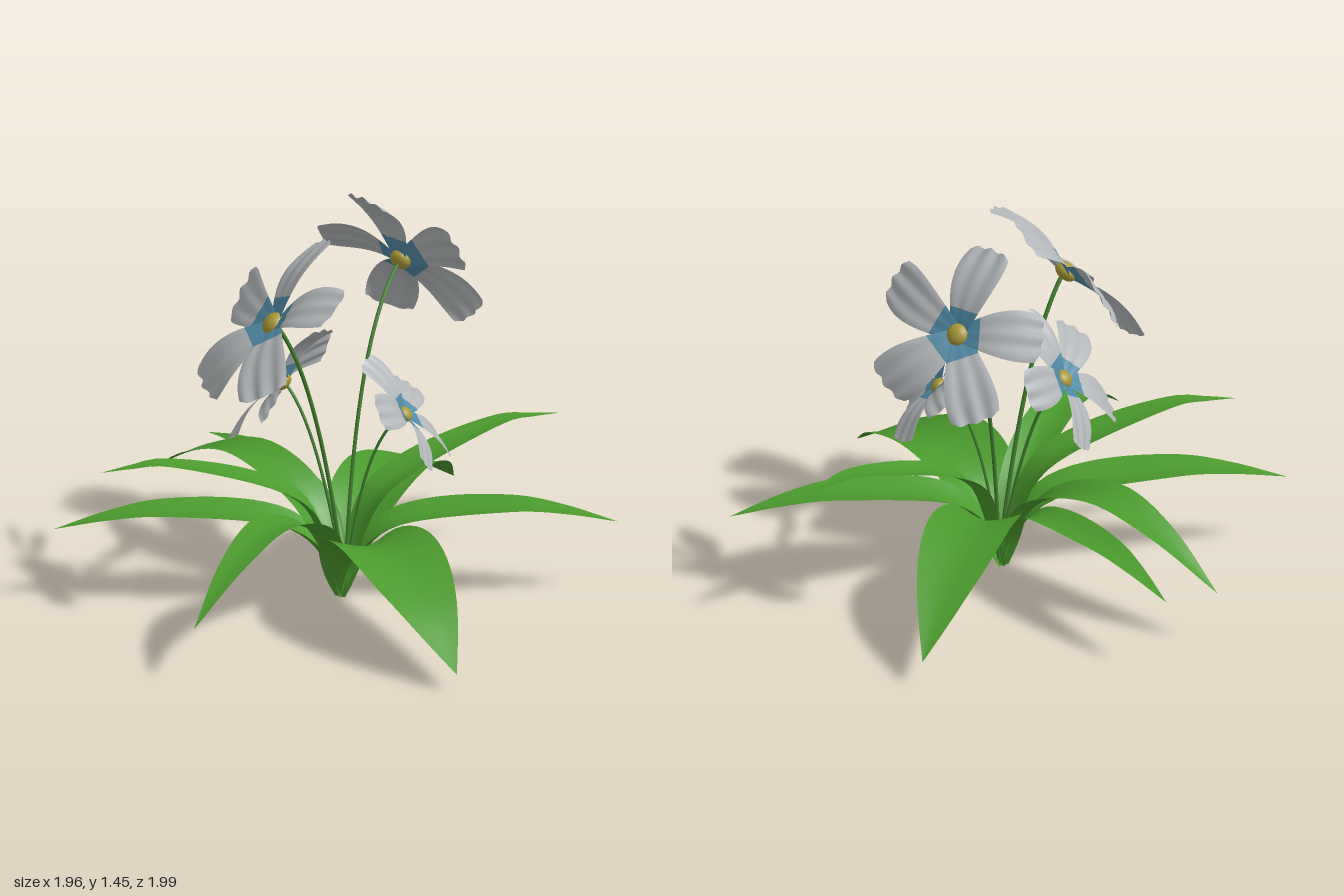
import * as THREE from 'three';

const mat = (name, color, side = THREE.DoubleSide) => {
  const m = new THREE.MeshStandardMaterial({ color, side });
  m.name = name;
  return m;
};

const V = (a) => new THREE.Vector3(...a);

// Smooth sheet from a rule: u runs along the part, v across it from -1 to 1.
function sheet(nu, nv, u0, u1, rule) {
  const pos = [], idx = [];
  for (let i = 0; i <= nu; i++) {
    for (let j = 0; j <= nv; j++) {
      const p = rule(u0 + ((u1 - u0) * i) / nu, (2 * j) / nv - 1);
      pos.push(p.x, p.y, p.z);
      if (i < nu && j < nv) {
        const a = i * (nv + 1) + j, b = a + nv + 1;
        idx.push(a, a + 1, b, b, a + 1, b + 1);
      }
    }
  }
  const g = new THREE.BufferGeometry();
  g.setAttribute('position', new THREE.Float32BufferAttribute(pos, 3));
  g.setIndex(idx);
  g.computeVertexNormals();
  return g;
}

const ROOT = [0.02, 0.0, 0.02];

// Arching strap leaf with a folded cross-section.
function leafGeometry([tx, ty, tz, peak, at, width]) {
  const dx = tx - ROOT[0], dz = tz - ROOT[2];
  const len = Math.hypot(dx, dz);
  const dir = new THREE.Vector3(dx / len, 0, dz / len);
  const side = new THREE.Vector3(dir.z, 0, -dir.x);
  const at3 = (r, y) => V(ROOT).addScaledVector(dir, r * len).setY(y);
  const spine = new THREE.CatmullRomCurve3([
    at3(0, 0), at3(0.055, 0.14), at3(0.18, 0.2 + (peak - 0.2) * 0.5),
    at3(at, peak), at3((at + 1) / 2, peak - 0.3 * (peak - ty)), at3(1, ty),
  ]);
  return sheet(28, 6, 0, 1, (u, v) => {
    const p = spine.getPointAt(u), t = spine.getTangentAt(u);
    const up = new THREE.Vector3().crossVectors(t, side).normalize();
    const swell = Math.max(0, Math.sin(Math.PI * Math.pow(u, 0.9)));
    const half = width * 0.5 * (0.12 * (1 - u) + swell);
    const fold = half * (0.1 + 0.45 * (1 - u) ** 2) * Math.pow(Math.abs(v), 1.4);
    return p.addScaledVector(side, half * v).addScaledVector(up, fold);
  });
}

// Softly ruffled petal lying along +x, widening to a wavy blunt tip.
const petalRule = (R) => (u, v) => {
  const half = R * (0.08 + 0.215 * Math.sin((Math.PI / 2) * Math.min(1, u * 1.15)) - 0.03 * u ** 8);
  const r = R * u * (1 - u * u * (0.05 * v * v - 0.015 * Math.cos(3 * Math.PI * v)));
  const lift = 0.1 * Math.sin(Math.PI * u) + 0.01 * u
    + 0.013 * u * Math.cos(2.5 * Math.PI * v) + 0.05 * v * (0.3 + u);
  return new THREE.Vector3(r, R * lift, half * v + R * 0.07 * u * u);
};

export function createModel() {
  const leafGreen = mat('leaf green', 0x4b9a2d);
  const stemGreen = mat('stem green', 0x42802f, THREE.FrontSide);
  const petalWhite = mat('petal white', 0xb3b7b9);
  const petalBlue = mat('petal blue', 0x508aa5);
  const coreYellow = mat('core yellow', 0xa99838, THREE.FrontSide);

  const plant = new THREE.Group();
  plant.name = 'floweringPlant';
  const add = (parent, geo, material, name) => {
    const m = new THREE.Mesh(geo, material);
    m.name = name;
    parent.add(m);
    return m;
  };

  // Leaves: tip x, y, z, peak height, peak position along the reach, width
  const leaves = [
    [0.15, 0.1, -1.0, 0.34, 0.42, 0.29],
    [0.98, 0.28, -0.3, 0.345, 0.62, 0.2],
    [0.66, 0.55, -0.62, 0.57, 0.74, 0.15],
    [0.69, 0.07, 0.81, 0.32, 0.4, 0.34],
    [-0.26, 0.21, 0.99, 0.43, 0.48, 0.16],
    [-0.78, 0.55, 0.42, 0.57, 0.74, 0.15],
    [-0.98, 0.28, 0.35, 0.345, 0.62, 0.21],
    [-0.86, 0.21, -0.49, 0.43, 0.48, 0.19],
    [-0.71, 0.28, -0.73, 0.345, 0.62, 0.15],
  ];
  leaves.forEach((l, i) => add(plant, leafGeometry(l), leafGreen, `leaf${i + 1}`));

  // Flowers: centre, facing, direction of the first petal, radius, stem bend
  const flowers = [
    { c: [0.11, 1.16, -0.43], n: [0.24, 0.51, -0.83], p: [-0.08, 0.29, 0.16], R: 0.335, bend: [0.05, 0.98, -0.04] },
    { c: [-0.18, 1.12, 0.21], n: [-0.6, 0.66, 0.42], p: [0.18, 0.23, -0.32], R: 0.365, bend: [-0.05, 0.85, 0.06] },
    { c: [-0.21, 0.8, -0.02], n: [-0.8, 0.57, -0.15], p: [0.15, 0.22, 0], R: 0.28, bend: [-0.07, 0.64, 0] },
    { c: [0.25, 0.73, -0.01], n: [0.77, 0.62, -0.12], p: [-0.15, 0.2, 0], R: 0.245, bend: [0.09, 0.62, 0] },
  ];
  flowers.forEach(({ c, n, p, R, bend }, i) => {
    const y = V(n).normalize();
    const x = V(p).addScaledVector(y, -V(p).dot(y)).normalize();
    const z = new THREE.Vector3().crossVectors(x, y);

    const flower = new THREE.Group();
    flower.name = `flower${i + 1}`;
    flower.position.copy(V(c));
    flower.quaternion.setFromRotationMatrix(new THREE.Matrix4().makeBasis(x, y, z));
    plant.add(flower);

    // Petals with a blue inner part
    const inner = sheet(5, 12, 0.02, 0.28, petalRule(R));
    const outer = sheet(14, 18, 0.28, 1, petalRule(R));
    for (let k = 0; k < 5; k++) {
      const a = (k * Math.PI * 2) / 5;
      add(flower, inner, petalBlue, 'petalBase').rotation.y = a;
      add(flower, outer, petalWhite, 'petal').rotation.y = a;
    }

    // Flattened core showing on both sides
    const core = add(flower, new THREE.SphereGeometry(R * 0.125, 20, 12), coreYellow, 'core');
    core.scale.y = 0.7;
    core.position.y = R * 0.02;

    // Stem curving into the back of the flower
    const end = V(c).addScaledVector(y, -R * 0.05);
    const path = new THREE.QuadraticBezierCurve3(V([0.03, 0.03, 0.01]), V(bend), end);
    add(plant, new THREE.TubeGeometry(path, 28, R * 0.022, 8), stemGreen, `stem${i + 1}`);
  });

  return plant;
}
